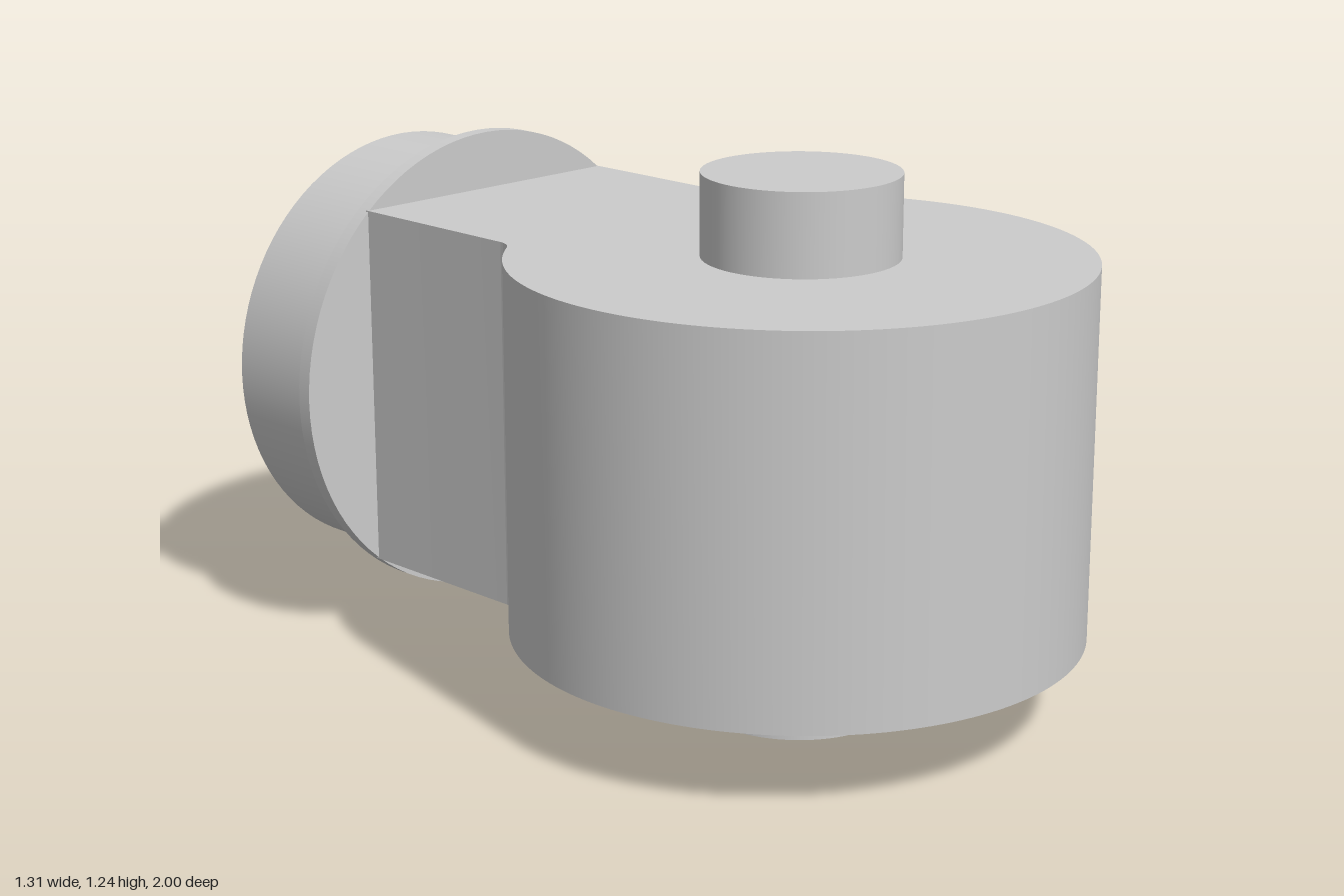
import * as THREE from 'three';
import { toCreasedNormals } from 'three/addons/utils/BufferGeometryUtils.js';

const MID_Y = 0.62;   // height of the neck axis
const HUB_Z = 0.347;  // vertical pin axis
const HUB_R = 0.653;

export function createModel() {
  const group = new THREE.Group();
  const material = new THREE.MeshStandardMaterial({ color: 0xcccccc });

  function add(name, geometry, x, y, z) {
    const mesh = new THREE.Mesh(geometry, material);
    mesh.name = name;
    mesh.position.set(x, y, z);
    group.add(mesh);
    return mesh;
  }

  // Keyhole outline: round hub blended into a straight neck by small fillets
  const neck = 0.373, fillet = 0.07, neckEnd = -0.69;
  const fx = neck + fillet;
  const fz = HUB_Z - Math.sqrt((HUB_R + fillet) ** 2 - fx ** 2);
  const a = Math.atan2(fz - HUB_Z, fx);
  const outline = new THREE.Shape();
  outline.moveTo(-neck, neckEnd);
  outline.lineTo(neck, neckEnd);
  outline.lineTo(neck, fz);
  outline.absarc(fx, fz, fillet, Math.PI, Math.PI + a, true);
  outline.absarc(0, HUB_Z, HUB_R, a, Math.PI - a, false);
  outline.absarc(-fx, fz, fillet, -a, 0, true);
  outline.closePath();
  const bodyGeometry = new THREE.ExtrudeGeometry(outline, {
    depth: 0.86, bevelEnabled: false, curveSegments: 64,
  });
  bodyGeometry.rotateX(Math.PI / 2);
  add('body', toCreasedNormals(bodyGeometry, 0.6), 0, 1.05, 0);

  // Pin stubs above and below the hub
  const stub = 0.188;
  for (const [name, y] of [['lowerPin', stub / 2], ['upperPin', 1.05 + stub / 2]]) {
    add(name, new THREE.CylinderGeometry(0.222, 0.222, stub, 64), 0, y, HUB_Z);
  }

  // Thin flange and round end cap behind the neck
  function disc(name, radius, zFront, zBack) {
    const geometry = new THREE.CylinderGeometry(radius, radius, zFront - zBack, 96);
    geometry.rotateX(Math.PI / 2);
    add(name, geometry, 0, MID_Y, (zFront + zBack) / 2);
  }
  disc('flange', 0.567, -0.683, -0.72);
  disc('endCap', 0.522, -0.72, -1);

  return group;
}
